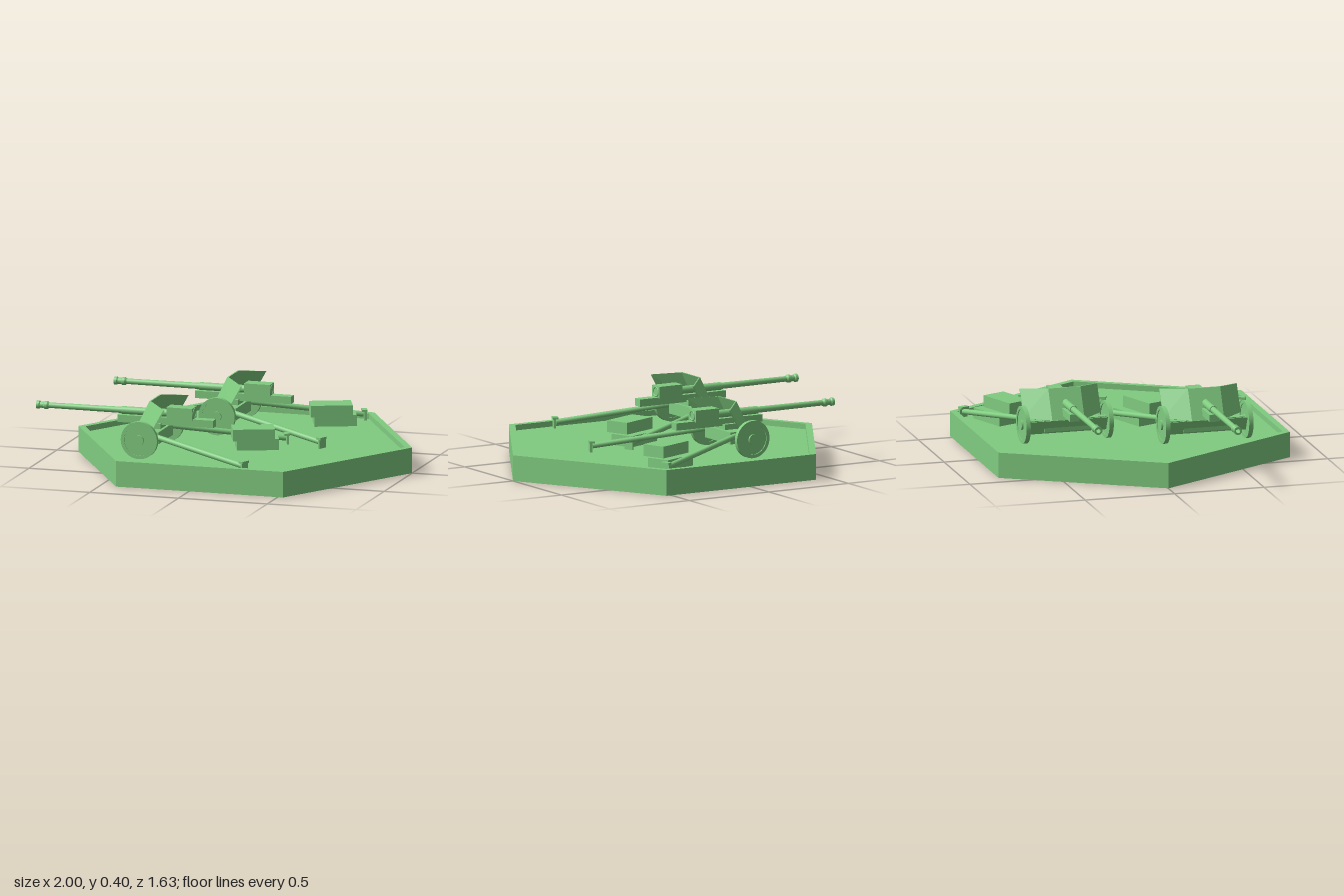
import * as THREE from 'three';
import { ConvexGeometry } from 'three/addons/geometries/ConvexGeometry.js';

const FLOOR = 0.11;
const mat = new THREE.MeshStandardMaterial({ color: 0x80cc80 });
const flat = new THREE.MeshStandardMaterial({ color: 0x80cc80, flatShading: true });
const V = (x, y, z) => new THREE.Vector3(x, y, z);

function add(parent, name, geo, pos = [0, 0, 0], material = mat) {
  const m = new THREE.Mesh(geo, material);
  m.name = name;
  m.position.set(...pos);
  parent.add(m);
  return m;
}

// box given by its limits on each axis
function block(parent, name, x0, x1, y0, y1, z0, z1) {
  return add(parent, name, new THREE.BoxGeometry(x1 - x0, y1 - y0, z1 - z0),
    [(x0 + x1) / 2, (y0 + y1) / 2, (z0 + z1) / 2]);
}

// straight round bar between two points
function bar(parent, name, a, b, r) {
  const m = add(parent, name, new THREE.CylinderGeometry(r, r, a.distanceTo(b), 16),
    a.clone().add(b).multiplyScalar(0.5).toArray());
  m.quaternion.setFromUnitVectors(V(0, 1, 0), b.clone().sub(a).normalize());
  return m;
}

// thin plate from four corners, thickened along x
function plate(parent, name, corners) {
  const pts = corners.flatMap(([x, y, z]) => [V(x, y, z), V(x + 0.008, y, z)]);
  return add(parent, name, new ConvexGeometry(pts), [0, 0, 0], flat);
}

function hexagon(r, Type = THREE.Shape) {
  const pts = [];
  for (let i = 0; i < 6; i++) {
    pts.push(new THREE.Vector2(r * Math.cos(i * Math.PI / 3), r * Math.sin(i * Math.PI / 3)));
  }
  return new Type(pts);
}

function slab(shape, depth) {
  return new THREE.ExtrudeGeometry(shape, { depth, bevelEnabled: false }).rotateX(-Math.PI / 2);
}

// hexagonal tray with a raised rim
function createBase() {
  const base = new THREE.Group();
  base.name = 'base';
  base.position.x = 0.06;
  add(base, 'floor', slab(hexagon(0.9), FLOOR));
  const rim = hexagon(0.94);
  rim.holes.push(hexagon(0.9, THREE.Path));
  add(base, 'rim', slab(rim, 0.14));
  return base;
}

// wheel with recessed disc and hub, axis along z
function createWheel() {
  const wheel = new THREE.Group();
  wheel.name = 'wheel';
  const ring = new THREE.Shape().absarc(0, 0, 0.102, 0, Math.PI * 2);
  ring.holes.push(new THREE.Path().absarc(0, 0, 0.083, 0, Math.PI * 2));
  add(wheel, 'tyre', new THREE.ExtrudeGeometry(ring,
    { depth: 0.024, bevelEnabled: false, curveSegments: 32 }), [0, 0, -0.012]);
  add(wheel, 'disc', new THREE.CylinderGeometry(0.085, 0.085, 0.014, 40).rotateX(Math.PI / 2));
  add(wheel, 'hub', new THREE.CylinderGeometry(0.027, 0.027, 0.034, 24).rotateX(Math.PI / 2));
  return wheel;
}

function createBarrel() {
  // radius and x along the bore, from muzzle to breech
  const profile = [[0.012, -0.6], [0.012, -0.65], [0.022, -0.65], [0.022, -0.635],
    [0.017, -0.63], [0.017, -0.61], [0.022, -0.605], [0.022, -0.59], [0.015, -0.58],
    [0.017, -0.17], [0.021, -0.17], [0.021, 0.1]];
  const pts = [];
  // doubled points keep the steps sharp
  profile.forEach(([r, x]) => pts.push(new THREE.Vector2(r, x), new THREE.Vector2(r, x)));
  return new THREE.LatheGeometry(pts, 24).rotateZ(-Math.PI / 2);
}

// field gun pointing to -x, with the axle above its origin
function createGun() {
  const gun = new THREE.Group();
  gun.name = 'fieldGun';

  // barrel, cradle and breech
  add(gun, 'barrel', createBarrel(), [0, 0.322, 0]);
  block(gun, 'cradle', -0.19, 0.35, 0.26, 0.3, -0.027, 0.027);
  block(gun, 'breech', 0.09, 0.235, 0.295, 0.36, -0.038, 0.038);
  add(gun, 'breechRing', new THREE.TorusGeometry(0.025, 0.004, 8, 24).rotateY(Math.PI / 2),
    [0.235, 0.328, 0]);

  // carriage
  block(gun, 'axle', -0.02, 0.02, 0.193, 0.233, -0.225, 0.225);
  block(gun, 'saddle', -0.05, 0.075, 0.175, 0.24, -0.13, 0.13);
  block(gun, 'pedestal', -0.04, 0.06, 0.23, 0.27, -0.05, 0.05);
  plate(gun, 'apron', [[-0.07, 0.24, -0.22], [-0.07, 0.24, 0.22],
    [-0.035, 0.165, 0.22], [-0.035, 0.165, -0.22]]);

  // shield
  plate(gun, 'shieldCentre', [[-0.068, 0.24, -0.09], [-0.068, 0.24, 0.09],
    [0.012, 0.4, 0.09], [0.012, 0.4, -0.09]]);

  for (const s of [-1, 1]) {
    plate(gun, 'shieldWing', [[-0.068, 0.24, s * 0.09], [0.012, 0.4, s * 0.09],
      [0.128, 0.38, s * 0.216], [0.05, 0.24, s * 0.216]]);

    const wheel = createWheel();
    wheel.position.set(0, 0.213, s * 0.232);
    gun.add(wheel);

    // split trail with its spade
    const start = V(0.05, 0.222, s * 0.145), end = V(0.63, 0.142, s * 0.383);
    bar(gun, 'trail', start, end, 0.015);
    const spade = new THREE.Group();
    spade.name = 'spade';
    spade.position.set(0.637, 0, s * 0.386);
    spade.rotation.y = -s * 0.39;
    block(spade, 'spadePlate', -0.004, 0.008, FLOOR, 0.165, -0.026, 0.026);
    block(spade, 'spadeTop', -0.018, 0.012, 0.158, 0.17, -0.026, 0.026);
    gun.add(spade);
  }

  // stacked ammunition crates
  const crates = [[0.515, 0.137, -0.235, 0.066], [0.51, 0.203, -0.18, 0.064]];
  for (const [x, y, z, h] of crates) {
    add(gun, 'crate', new THREE.BoxGeometry(0.227, h, 0.135), [x, y, z]).rotation.y = 0.385;
  }
  return gun;
}

export function createModel() {
  const model = new THREE.Group();
  model.name = 'gunBattery';
  model.add(createBase());
  for (const [x, z] of [[-0.35, 0.355], [-0.14, -0.365]]) {
    const gun = createGun();
    gun.position.set(x, 0, z);
    model.add(gun);
  }
  return model;
}
